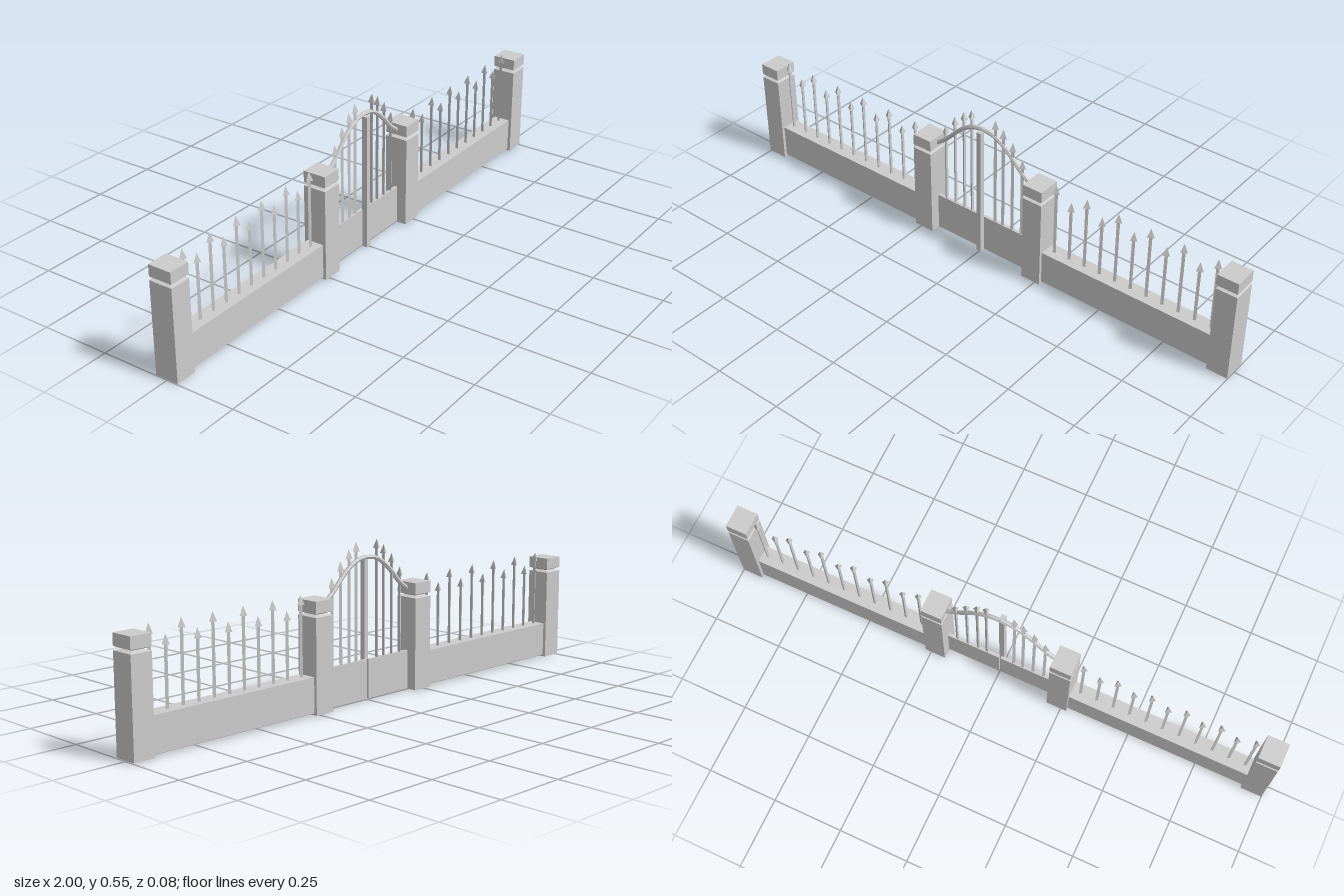
import * as THREE from 'three';

const material = new THREE.MeshStandardMaterial({ color: 0xcccccc, flatShading: true });

function addMesh(parent, name, geometry, x = 0, y = 0, z = 0) {
  const flat = geometry.index ? geometry.toNonIndexed() : geometry;
  flat.computeVertexNormals();
  const mesh = new THREE.Mesh(flat, material);
  mesh.name = name;
  mesh.position.set(x, y, z);
  parent.add(mesh);
  return mesh;
}

function addBox(parent, name, x0, x1, y0, y1, z0, z1) {
  return addMesh(parent, name, new THREE.BoxGeometry(x1 - x0, y1 - y0, z1 - z0),
    (x0 + x1) / 2, (y0 + y1) / 2, (z0 + z1) / 2);
}

// Square pillar and cap, pinched together at a chamfered neck
function addPillar(parent, x, width) {
  const profile = [
    [0, 0.003], [1, 0.003], [1, 0.326], [0.55, 0.332],
    [1, 0.339], [1, 0.379], [0, 0.379],
  ].map(([r, y]) => new THREE.Vector2(r * Math.SQRT1_2, y));
  const geometry = new THREE.LatheGeometry(profile, 4, Math.PI / 4);
  geometry.scale(width, 1, 0.084);
  addMesh(parent, 'pillar', geometry, x);
}

// Three-sided rod with a three-sided point, one edge facing outward
function addSpike(parent, x, base, tip) {
  const start = Math.sign(x) * Math.PI / 2;
  const head = 0.032;
  const spike = new THREE.Group();
  spike.name = 'spike';
  spike.position.x = x;
  const length = tip - head - base;
  addMesh(spike, 'rod', new THREE.CylinderGeometry(0.006, 0.006, length, 3, 1, false, start),
    0, base + length / 2);
  addMesh(spike, 'spearhead', new THREE.ConeGeometry(0.014, head, 3, 1, false, start),
    0, tip - head / 2);
  parent.add(spike);
}

export function createModel() {
  const model = new THREE.Group();
  model.name = 'gatedFence';

  for (const side of [-1, 1]) {
    // Fence wing: two pillars, low wall and alternating spikes
    const wing = new THREE.Group();
    wing.name = side < 0 ? 'rightFence' : 'leftFence';
    model.add(wing);
    addPillar(wing, side * 0.962, 0.076);
    addPillar(wing, side * 0.234, 0.075);
    const ends = [side * 0.25, side * 0.945].sort((a, b) => a - b);
    addBox(wing, 'lowWall', ends[0], ends[1], 0.01, 0.13, -0.031, 0.031);
    for (let i = 0; i < 11; i++) {
      addSpike(wing, side * (0.3 + i * 0.0603), 0.12, i % 2 ? 0.358 : 0.4);
    }

    // Gate leaf: bottom panel, rising spikes and half of the arched rail
    const leaf = new THREE.Group();
    leaf.name = side < 0 ? 'rightGateLeaf' : 'leftGateLeaf';
    model.add(leaf);
    const span = [side * 0.003, side * 0.205].sort((a, b) => a - b);
    addBox(leaf, 'gatePanel', span[0], span[1], 0.005, 0.14, -0.006, 0.006);
    for (const [x, tip] of [[0.05, 0.545], [0.083, 0.523], [0.122, 0.488], [0.162, 0.438]]) {
      addSpike(leaf, side * x, 0.13, tip);
    }
    const path = new THREE.CatmullRomCurve3([
      [0, 0.489], [0.04, 0.483], [0.08, 0.462], [0.12, 0.427], [0.16, 0.385], [0.205, 0.352],
    ].map(([x, y]) => new THREE.Vector3(side * x, y, 0)));
    addMesh(leaf, 'archedRail', new THREE.TubeGeometry(path, 14, 0.008, 6));
  }

  // Upright that covers the seam between the leaves
  addBox(model, 'closingBar', -0.012, 0.006, 0, 0.485, 0.004, 0.023);
  return model;
}
